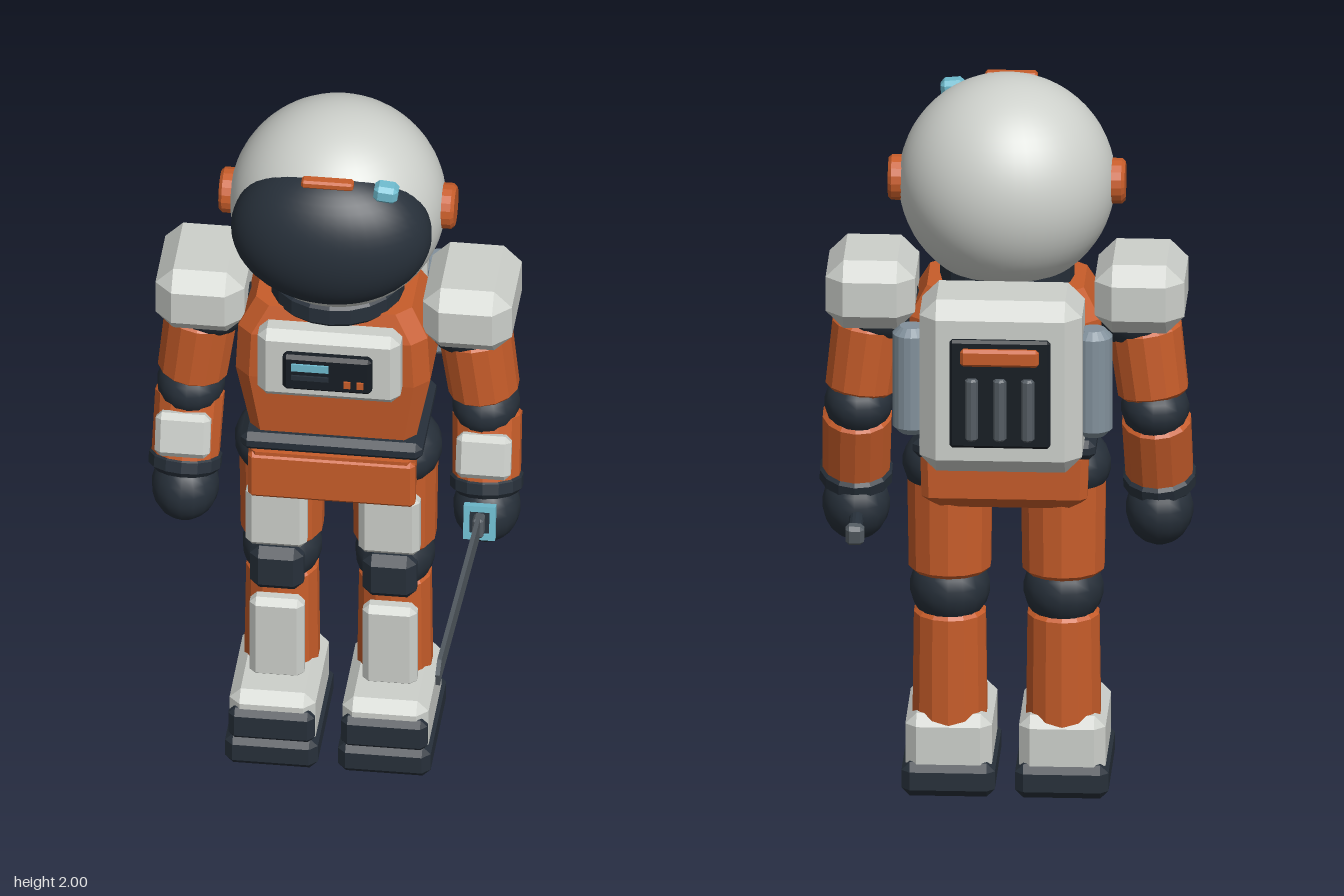
import * as THREE from 'three';
import { ConvexGeometry } from 'three/addons/geometries/ConvexGeometry.js';

const mat = (name, color) => {
  const m = new THREE.MeshStandardMaterial({ color });
  m.name = name;
  return m;
};
const V = (x, y, z) => new THREE.Vector3(x, y, z);

export function createModel() {
  const white = mat('shell white', 0xcdd0cb);
  const orange = mat('suit orange', 0xc85d2a);
  const dark = mat('rubber dark', 0x27303a);
  const black = mat('panel black', 0x171d24);
  const cyan = mat('light cyan', 0x6fbccf);
  const tankGrey = mat('tank grey', 0x82919c);
  const steel = mat('steel', 0x545c63);

  const root = new THREE.Group();
  root.name = 'astronaut';

  const add = (parent, name, geo, material, x = 0, y = 0, z = 0) => {
    const m = new THREE.Mesh(geo, material);
    m.name = name;
    m.position.set(x, y, z);
    parent.add(m);
    return m;
  };
  const flat = (geo) => {
    const g = geo.index ? geo.toNonIndexed() : geo;
    g.computeVertexNormals();
    return g;
  };
  // box with chamfered edges
  const chamferBox = (w, h, d, b) => {
    const pts = [];
    for (const sx of [-1, 1]) for (const sy of [-1, 1]) for (const sz of [-1, 1]) {
      const x = w / 2, y = h / 2, z = d / 2;
      pts.push(V(sx * x, sy * (y - b), sz * (z - b)));
      pts.push(V(sx * (x - b), sy * y, sz * (z - b)));
      pts.push(V(sx * (x - b), sy * (y - b), sz * z));
    }
    return new ConvexGeometry(pts);
  };
  // convex body from rings [y, halfWidth, halfDepth, cornerCut]
  const ringBody = (rings) => {
    const pts = [];
    for (const [y, w, d, c] of rings)
      for (const sx of [-1, 1]) for (const sz of [-1, 1])
        pts.push(V(sx * w, y, sz * (d - c)), V(sx * (w - c), y, sz * d));
    return new ConvexGeometry(pts);
  };
  // faceted cylinder with chamfered rims, centred on y
  const drum = (r0, r1, h, b, sides = 14) => flat(new THREE.LatheGeometry([
    [0, -h / 2], [r0 - b, -h / 2], [r0, -h / 2 + b],
    [r1, h / 2 - b], [r1 - b, h / 2], [0, h / 2],
  ].map(([x, y]) => new THREE.Vector2(x, y)), sides));
  // drum laid between two points
  const limb = (parent, name, a, b, r0, r1, material, bevel = 0.012) => {
    const dir = b.clone().sub(a);
    const m = add(parent, name, drum(r0, r1, dir.length(), bevel), material);
    m.position.copy(a).add(b).multiplyScalar(0.5);
    m.quaternion.setFromUnitVectors(V(0, 1, 0), dir.normalize());
    return m;
  };
  const ball = (parent, name, material, x, y, z, rx, ry, rz, seg = 16) => {
    const m = add(parent, name, new THREE.SphereGeometry(1, seg, Math.ceil(seg * 0.65)), material, x, y, z);
    m.scale.set(rx, ry, rz);
    return m;
  };

  // helmet
  const head = new THREE.Group();
  head.name = 'helmet';
  root.add(head);
  ball(head, 'helmetShell', white, 0, 1.71, -0.325, 0.29, 0.29, 0.282, 48);
  ball(head, 'visor', dark, 0, 1.715, -0.18, 0.27, 0.212, 0.174, 40);
  add(head, 'visorTrim', chamferBox(0.14, 0.024, 0.034, 0.006), orange, 0, 1.925, -0.098);
  const lamp = add(head, 'helmetLamp', chamferBox(0.065, 0.05, 0.055, 0.012), cyan, 0.155, 1.896, -0.12);
  lamp.rotation.z = -0.1;
  for (const s of [-1, 1]) {
    const ear = add(head, 'earDisc', drum(0.062, 0.062, 0.07, 0.009, 18), orange, s * 0.282, 1.714, -0.33);
    ear.rotation.z = -s * Math.PI / 2;
  }
  add(root, 'neckRing', drum(0.18, 0.18, 0.075, 0.015, 20), dark, 0, 1.457, -0.315);

  // torso, belt and pelvis
  add(root, 'torso', ringBody([
    [1.02, 0.222, 0.13, 0.03], [1.22, 0.262, 0.152, 0.04],
    [1.36, 0.255, 0.155, 0.04], [1.44, 0.21, 0.13, 0.04],
  ]), orange, 0, 0, -0.325);
  add(root, 'belt', chamferBox(0.49, 0.055, 0.335, 0.018), dark, 0, 1.003, -0.333);
  add(root, 'pelvis', ringBody([
    [0.825, 0.19, 0.12, 0.02], [0.86, 0.222, 0.155, 0.02], [0.975, 0.225, 0.16, 0.02],
  ]), orange, 0, 0, -0.33);
  add(root, 'pelvisPlate', chamferBox(0.45, 0.145, 0.05, 0.012), orange, 0, 0.898, -0.19);

  // chest console
  add(root, 'chestPanel', chamferBox(0.385, 0.215, 0.09, 0.025), white, 0, 1.308, -0.147);
  add(root, 'chestScreen', chamferBox(0.24, 0.112, 0.035, 0.01), black, 0, 1.307, -0.094);
  add(root, 'screenBar', new THREE.BoxGeometry(0.1, 0.022, 0.008), cyan, -0.045, 1.33, -0.075);
  add(root, 'screenSlot', new THREE.BoxGeometry(0.1, 0.014, 0.008), dark, -0.045, 1.297, -0.075);
  for (const x of [0.055, 0.09])
    add(root, 'chestButton', new THREE.BoxGeometry(0.018, 0.02, 0.009), orange, x, 1.284, -0.075);

  // backpack
  const pack = new THREE.Group();
  pack.name = 'backpack';
  root.add(pack);
  add(pack, 'packShell', chamferBox(0.435, 0.485, 0.245, 0.045), white, 0, 1.243, -0.583);
  add(pack, 'packPanel', chamferBox(0.27, 0.305, 0.03, 0.008), black, 0, 1.238, -0.706);
  add(pack, 'packStripe', chamferBox(0.21, 0.048, 0.024, 0.008), orange, 0, 1.345, -0.726);
  for (const x of [-0.075, 0, 0.075])
    add(pack, 'packVent', drum(0.018, 0.018, 0.175, 0.006, 8), steel, x, 1.197, -0.722);
  for (const s of [-1, 1])
    add(pack, 'airTank', drum(0.052, 0.052, 0.3, 0.02, 18), tankGrey, s * 0.243, 1.228, -0.567);

  for (const s of [-1, 1]) {
    // leg
    const leg = new THREE.Group();
    leg.name = s > 0 ? 'leftLeg' : 'rightLeg';
    root.add(leg);
    const x = s * 0.152;
    ball(leg, 'hipJoint', dark, s * 0.175, 0.915, -0.335, 0.105, 0.095, 0.125);
    limb(leg, 'thigh', V(x, 0.615, -0.342), V(x, 0.9, -0.342), 0.112, 0.116, orange);
    add(leg, 'thighPlate', chamferBox(0.165, 0.19, 0.06, 0.018), white, x, 0.742, -0.218);
    ball(leg, 'kneeJoint', dark, x, 0.565, -0.342, 0.108, 0.105, 0.113);
    add(leg, 'kneePad', chamferBox(0.145, 0.135, 0.07, 0.025), dark, x, 0.567, -0.226);
    limb(leg, 'shin', V(x, 0.19, -0.337), V(x, 0.51, -0.345), 0.102, 0.098, orange);
    add(leg, 'shinPlate', chamferBox(0.147, 0.255, 0.06, 0.018), white, x, 0.337, -0.231);
    add(leg, 'boot', chamferBox(0.232, 0.17, 0.345, 0.03), white, x, 0.14, -0.27);
    add(leg, 'toeCap', chamferBox(0.232, 0.098, 0.05, 0.018), dark, x, 0.132, -0.107);
    add(leg, 'sole', chamferBox(0.25, 0.094, 0.38, 0.022), dark, x, 0.047, -0.27);

    // arm
    const arm = new THREE.Group();
    arm.name = s > 0 ? 'leftArm' : 'rightArm';
    root.add(arm);
    ball(arm, 'shoulderJoint', dark, s * 0.34, 1.36, -0.335, 0.112, 0.112, 0.112);
    add(arm, 'shoulderPad', chamferBox(0.24, 0.192, 0.31, 0.048), white, s * 0.36, 1.419, -0.335);
    limb(arm, 'upperArm', V(s * 0.393, 1.115, -0.337), V(s * 0.368, 1.315, -0.335), 0.096, 0.1, orange);
    ball(arm, 'elbowJoint', dark, s * 0.397, 1.078, -0.337, 0.092, 0.085, 0.108);
    limb(arm, 'forearm', V(s * 0.406, 0.86, -0.278), V(s * 0.4, 1.055, -0.34), 0.092, 0.094, orange);
    const plate = add(arm, 'forearmPlate', chamferBox(0.148, 0.125, 0.05, 0.016), white, s * 0.405, 0.978, -0.222);
    plate.rotation.x = -0.25;
    limb(arm, 'cuff', V(s * 0.407, 0.832, -0.272), V(s * 0.405, 0.89, -0.29), 0.099, 0.099, dark, 0.015);
    ball(arm, 'glove', dark, s * 0.406, 0.775, -0.285, 0.091, 0.1, 0.104);
  }

  // sword, modelled along +z from the guard
  const sword = new THREE.Group();
  sword.name = 'sword';
  sword.position.set(0.4, 0.795, -0.18);
  sword.rotation.x = -0.154;
  root.add(sword);
  const outline = new THREE.Shape([
    [0.04, -0.027], [0.9, -0.027], [0.918, -0.035], [0.935, 0.002], [0.895, 0.03], [0.04, 0.03],
  ].map(([a, b]) => new THREE.Vector2(a, b)));
  const blade = add(sword, 'blade', new THREE.ExtrudeGeometry(outline, { depth: 0.012, bevelEnabled: false }), steel, -0.006);
  blade.rotation.y = -Math.PI / 2;
  blade.position.x = 0.006;
  add(sword, 'bladeEdge', new THREE.BoxGeometry(0.007, 0.009, 0.85), cyan, 0, -0.03, 0.47);
  add(sword, 'bladeCollar', chamferBox(0.03, 0.055, 0.05, 0.006), steel, 0, 0, 0.03);

  // square guard frame
  const frame = new THREE.Shape([[-1, -1], [1, -1], [1, 1], [-1, 1]].map(([a, b]) => new THREE.Vector2(a * 0.043, b * 0.05)));
  frame.holes.push(new THREE.Path([[-1, -1], [-1, 1], [1, 1], [1, -1]].map(([a, b]) => new THREE.Vector2(a * 0.027, b * 0.033))));
  add(sword, 'guardFrame', new THREE.ExtrudeGeometry(frame, { depth: 0.022, bevelEnabled: false }), cyan, 0, 0, -0.005);
  add(sword, 'guardCore', new THREE.BoxGeometry(0.06, 0.07, 0.02), dark, 0, 0, -0.002);
  limb(sword, 'grip', V(0, 0, -0.28), V(0, 0, 0), 0.02, 0.02, dark, 0.003);
  add(sword, 'pommel', chamferBox(0.05, 0.055, 0.04, 0.01), steel, 0, 0, -0.295);

  return root;
}
